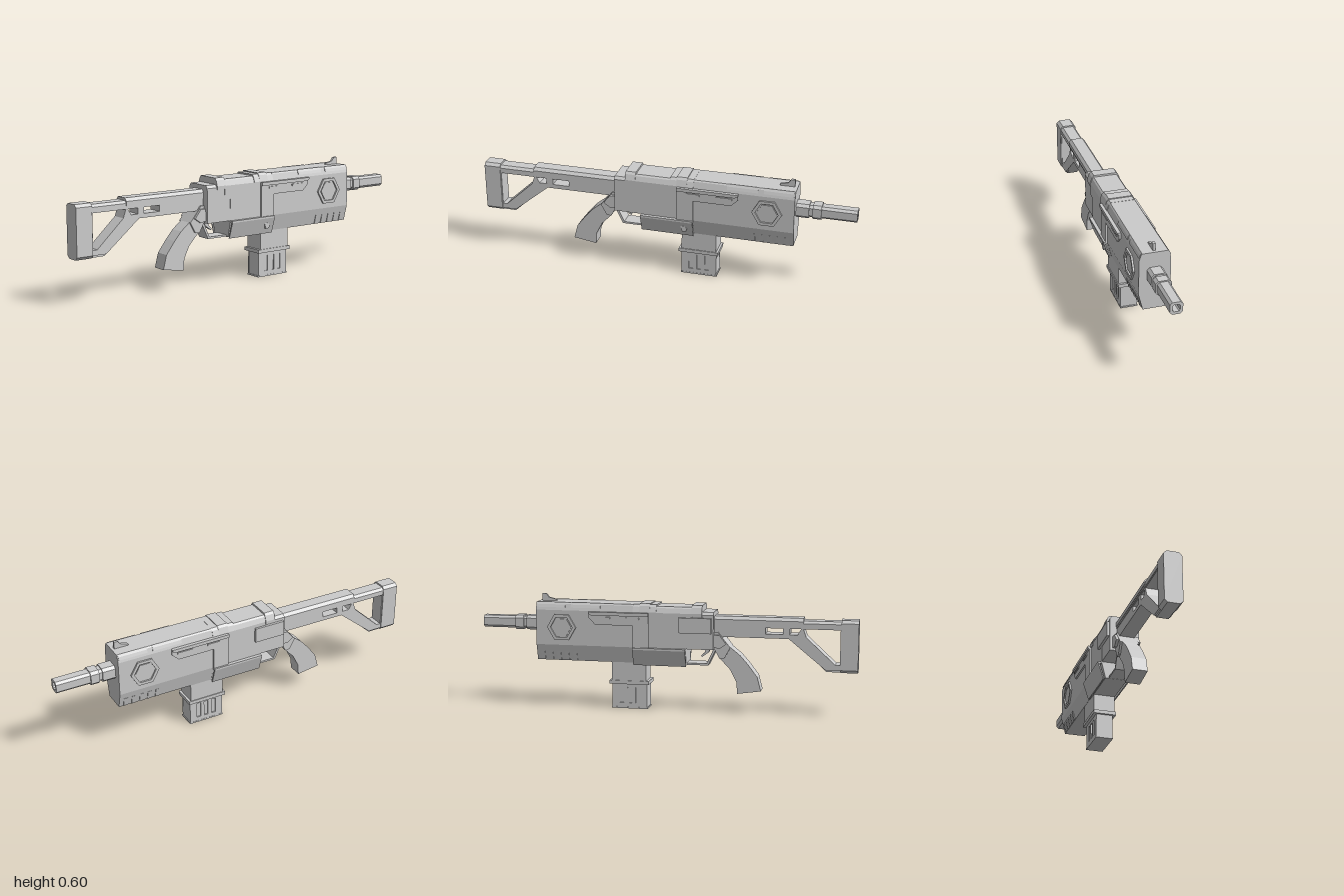
import * as THREE from 'three';

const mat = new THREE.MeshStandardMaterial({ color: 0xcccccc, flatShading: true, side: THREE.DoubleSide });

const toShape = (pts, holes = []) => {
  const s = new THREE.Shape(pts.map(p => new THREE.Vector2(p[0], p[1])));
  for (const h of holes) s.holes.push(new THREE.Path(h.map(p => new THREE.Vector2(p[0], p[1]))));
  return s;
};
// mirror a half section (x >= 0, listed top to bottom) to a closed outline
const mirrored = half => [...half, ...half.slice().reverse().map(([x, y]) => [-x, y])];
// rectangle with cut corners
const octagon = (w, y0, y1, c) =>
  mirrored([[w - c, y1], [w, y1 - c], [w, y0 + c], [w - c, y0]]);
const rect = (a0, a1, b0, b1) => [[a0, b0], [a1, b0], [a1, b1], [a0, b1]];

export function createModel() {
  const root = new THREE.Group();
  const add = (name, geo) => {
    const m = new THREE.Mesh(geo, mat);
    m.name = name;
    root.add(m);
    return m;
  };
  // (x, y) section swept from z0 to z1
  const alongZ = (name, pts, z0, z1, holes) => {
    const g = new THREE.ExtrudeGeometry(toShape(pts, holes), { depth: z1 - z0, bevelEnabled: false });
    return add(name, g.translate(0, 0, z0));
  };
  // (z, y) side profile swept from x0 to x1
  const alongX = (name, pts, x0, x1, holes) => {
    const g = new THREE.ExtrudeGeometry(toShape(pts, holes), { depth: x1 - x0, bevelEnabled: false });
    return add(name, g.rotateY(-Math.PI / 2).translate(x1, 0, 0));
  };
  const box = (name, x0, x1, y0, y1, z0, z1) =>
    add(name, new THREE.BoxGeometry(x1 - x0, y1 - y0, z1 - z0)
      .translate((x0 + x1) / 2, (y0 + y1) / 2, (z0 + z1) / 2));

  // main body: rear receiver, middle receiver and front housing
  const upper = [[0.062, 0.553], [0.07, 0.545], [0.08, 0.52]];
  alongZ('rearReceiver', mirrored([[0.066, 0.53], [0.078, 0.515], [0.078, 0.335]]), 0.115, 0.26);
  alongZ('receiverTop', mirrored([...upper, [0.08, 0.45]]), -0.165, 0.15);
  alongZ('middleReceiver', mirrored([[0.08, 0.5], [0.08, 0.335], [0.058, 0.245]]), -0.165, 0.115);
  alongZ('frontHousing', mirrored([[0.064, 0.56], [0.07, 0.553], [0.08, 0.52], [0.08, 0.335], [0.058, 0.25]]), -0.69, -0.165);

  // raised bands over the top
  const band = (name, top, z0, z1) =>
    alongZ(name, mirrored([[0.062, top], [0.072, top - 0.012], [0.083, 0.522], [0.083, 0.505]]), z0, z1);
  band('rearCollar', 0.563, 0.145, 0.2);
  band('topBand', 0.561, -0.165, -0.04);
  band('topBandRidge', 0.566, -0.13, -0.075);

  // front sight
  alongX('frontSight', [[-0.595, 0.555], [-0.6, 0.568], [-0.64, 0.578], [-0.655, 0.598], [-0.675, 0.598], [-0.675, 0.555]], -0.007, 0.007);

  // mirrored side details
  const plate = [[-0.08, 0.518], [-0.08, 0.335], [-0.165, 0.335], [-0.165, 0.45], [-0.365, 0.45], [-0.4, 0.485], [-0.4, 0.518]];
  const hex = r => Array.from({ length: 6 }, (_, i) =>
    [-0.55 + r * Math.cos(i * Math.PI / 3), 0.43 + r * Math.sin(i * Math.PI / 3)]);
  for (const s of [1, -1]) {
    const sideX = (name, pts, a, b, holes) => alongX(name, pts, Math.min(s * a, s * b), Math.max(s * a, s * b), holes);
    const sideBox = (name, a, b, ...r) => box(name, Math.min(s * a, s * b), Math.max(s * a, s * b), ...r);
    sideX('sidePlate', plate, 0.075, 0.089);
    sideX('sideRail', [[-0.08, 0.5], [-0.385, 0.5], [-0.4, 0.508], [-0.4, 0.518], [-0.08, 0.518]], 0.08, 0.098);
    for (const [z0, z1] of [[-0.2, -0.13], [-0.37, -0.285]]) sideBox('railTab', 0.085, 0.094, 0.482, 0.492, z0, z1);
    for (const [z0, z1] of [[-0.5, -0.34], [-0.685, -0.53]]) {
      const strip = [[0.066, 0.562], [0.074, 0.55], [0.08, 0.535], [0.07, 0.535]];
      alongZ('shoulderStrip', strip.map(([x, y]) => [s * x, y]), z0, z1);
    }
    sideX('hexRing', hex(0.078), 0.078, 0.089, [hex(0.06)]);
    sideX('hexCover', hex(0.052), 0.078, 0.084);
    // flared skirt beside the magazine well
    const skirt = [[0.08, 0.335], [0.098, 0.335], [0.098, 0.325], [0.07, 0.24], [0.064, 0.24], [0.09, 0.325], [0.08, 0.325]];
    alongZ('skirt', skirt.map(([x, y]) => [s * x, y]), -0.165, 0.115);
    // vents on the lower slope
    for (let i = 0; i < 5; i++) {
      const v = [[0.0715, 0.3], [0.0745, 0.301], [0.0625, 0.252], [0.0585, 0.252]];
      const z = -0.47 - i * 0.044;
      alongZ('vent', v.map(([x, y]) => [s * x, y]), z - 0.02, z);
    }
  }
  box('sideCover', -0.092, -0.07, 0.42, 0.5, 0.08, 0.25);
  const latch = alongX('latch', [[-0.1, 0.3], [-0.125, 0.3], [-0.135, 0.285], [-0.13, 0.27], [-0.11, 0.27]], -0.007, 0.007);
  latch.position.x = 0.084;

  // barrel with collars
  const bore = octagon(0.018, 0.424, 0.46, 0.006);
  alongZ('barrel', octagon(0.032, 0.41, 0.474, 0.012), -1, -0.83, [bore]);
  alongZ('barrelBase', octagon(0.032, 0.41, 0.474, 0.012), -0.84, -0.68);
  for (const [z0, z1] of [[-0.757, -0.69], [-0.82, -0.775]])
    alongZ('barrelCollar', octagon(0.04, 0.404, 0.48, 0.014), z0, z1);

  // magazine with slotted side plates
  box('magazineWell', -0.057, 0.057, 0.15, 0.26, -0.285, -0.1);
  box('magazineCollar', -0.061, 0.061, 0.133, 0.152, -0.297, -0.085);
  box('magazineCore', -0.039, 0.039, 0.002, 0.135, -0.284, -0.098);
  const slots = [0, 1, 2].map(i => rect(-0.245 + i * 0.043, -0.222 + i * 0.043, 0.03, 0.115));
  for (const x of [-0.045, 0.037]) alongX('magazineSide', rect(-0.285, -0.097, 0.004, 0.135), x, x + 0.008, slots);
  box('magazineFoot', -0.046, 0.046, 0, 0.008, -0.288, -0.094);

  // grip, its mount and the trigger group
  alongX('grip', [[0.345, 0.345], [0.395, 0.305], [0.435, 0.26], [0.485, 0.195], [0.505, 0.12], [0.382, 0.102],
    [0.377, 0.163], [0.345, 0.227], [0.29, 0.285], [0.27, 0.33]], -0.039, 0.039);
  alongX('gripMount', [[0.345, 0.345], [0.28, 0.425], [0.23, 0.425], [0.23, 0.34], [0.262, 0.335], [0.29, 0.285], [0.315, 0.29]], -0.05, 0.05);
  for (const x of [-0.064, 0.05]) alongX('mountCheek', [[0.325, 0.365], [0.29, 0.41], [0.2, 0.41], [0.2, 0.36], [0.29, 0.34]], x, x + 0.014);
  alongX('triggerGuard', [[0.27, 0.335], [0.228, 0.246], [0.11, 0.246], [0.11, 0.256], [0.22, 0.256], [0.256, 0.335]], -0.04, 0.04);
  alongX('trigger', [[0.24, 0.34], [0.225, 0.31], [0.19, 0.285], [0.185, 0.292], [0.205, 0.31], [0.212, 0.34]], -0.012, 0.012);

  // skeleton stock
  const stock = [[0.25, 0.4], [0.645, 0.4], [0.835, 0.245], [0.95, 0.245], [0.95, 0.485], [0.25, 0.485]];
  alongX('stockFrame', stock, -0.04, 0.04, [
    [[0.908, 0.453], [0.72, 0.453], [0.735, 0.41], [0.885, 0.272], [0.908, 0.272]],
    [[0.708, 0.453], [0.65, 0.453], [0.65, 0.422], [0.69, 0.422]],
    rect(0.525, 0.615, 0.422, 0.453),
  ]);
  alongZ('stockBeam', mirrored([[0.03, 0.495], [0.043, 0.482], [0.043, 0.46]]), 0.25, 0.92);
  alongZ('stockRail', mirrored([[0.032, 0.508], [0.046, 0.492], [0.046, 0.47]]), 0.25, 0.72);
  alongZ('buttPad', octagon(0.046, 0.232, 0.503, 0.015), 0.912, 1);
  alongX('strutPad', [[0.665, 0.395], [0.84, 0.234], [0.92, 0.234], [0.92, 0.25], [0.84, 0.25], [0.68, 0.4]], -0.03, 0.03);
  return root;
}
